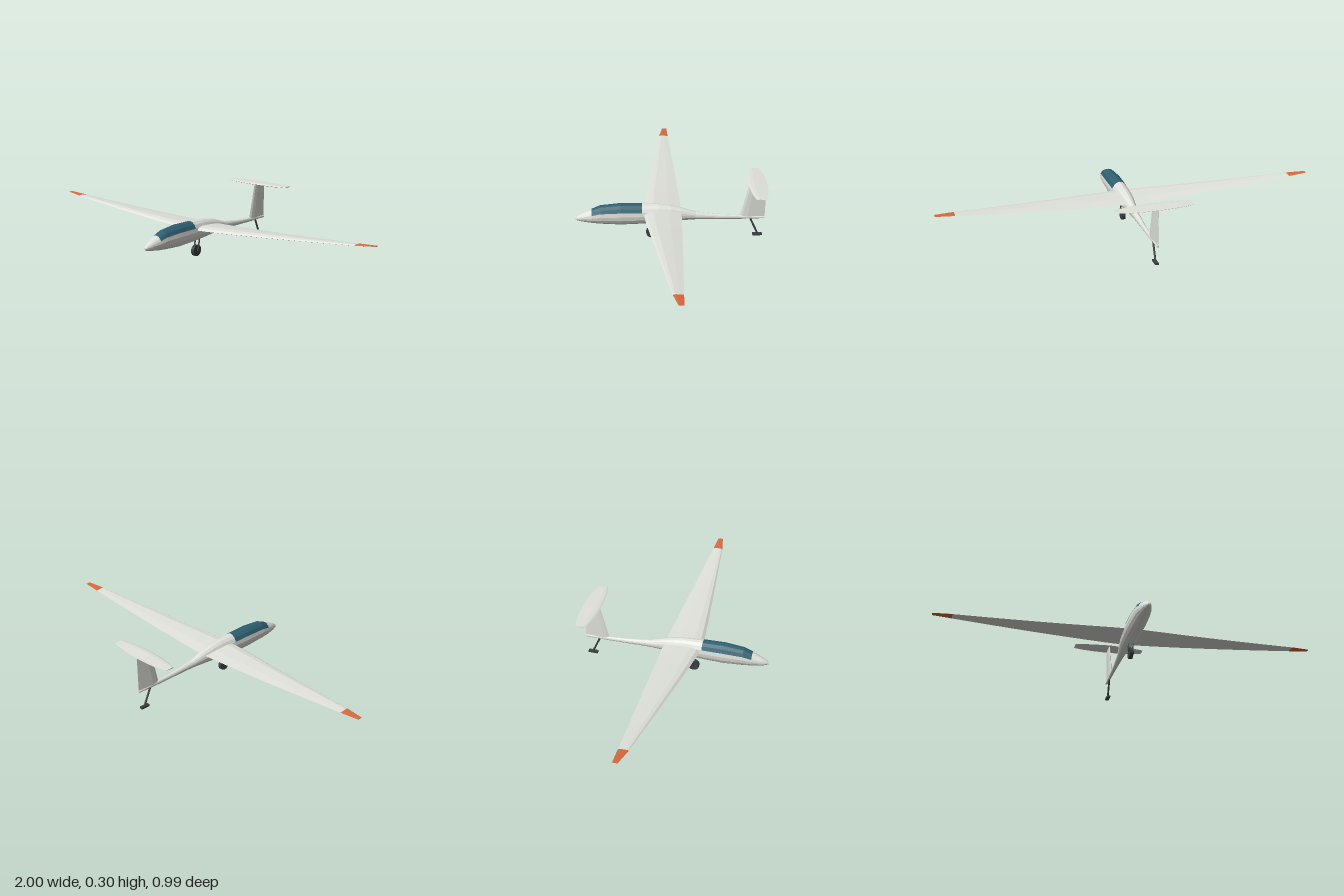
import * as THREE from 'three';

const paint = (color) => new THREE.MeshStandardMaterial({ color, flatShading: true, side: THREE.DoubleSide });
const white = paint(0xdfe1da), glass = paint(0x2f6072), orange = paint(0xd9693f), dark = paint(0x3c4143);

// Skin a list of cross-sections, each an equal-length list of [x, y, z]
function loft(name, rings, material, closed = true) {
  const n = rings[0].length, index = [];
  for (let r = 0; r < rings.length - 1; r++) {
    for (let i = 0; i < (closed ? n : n - 1); i++) {
      const j = (i + 1) % n, a = r * n + i, b = r * n + j;
      index.push(a, b, b + n, a, b + n, a + n);
    }
  }
  if (closed) {
    const last = (rings.length - 1) * n;
    for (let i = 1; i < n - 1; i++) index.push(0, i + 1, i, last, last + i, last + i + 1);
  }
  const g = new THREE.BufferGeometry();
  g.setAttribute('position', new THREE.Float32BufferAttribute(rings.flat(2), 3));
  g.setIndex(index);
  g.computeVertexNormals();
  const mesh = new THREE.Mesh(g, material);
  mesh.name = name;
  return mesh;
}

// Piecewise-linear lookup in rows sorted by their first value
function sample(rows, t) {
  let i = 0;
  while (i < rows.length - 2 && t > rows[i + 1][0]) i++;
  const a = rows[i], b = rows[i + 1], k = (t - a[0]) / (b[0] - a[0]);
  return a.map((v, c) => v + (b[c] - v) * k);
}

// Body stations, tail to nose: z, bottom, top, half width
const body = [
  [-0.488, 0.097, 0.11, 0.006], [-0.36, 0.096, 0.118, 0.009], [-0.25, 0.098, 0.126, 0.012],
  [-0.13, 0.1, 0.142, 0.018], [-0.05, 0.096, 0.168, 0.028], [0, 0.093, 0.18, 0.034],
  [0.06, 0.088, 0.189, 0.039], [0.15, 0.083, 0.193, 0.043], [0.26, 0.08, 0.196, 0.044],
  [0.365, 0.087, 0.186, 0.039], [0.41, 0.092, 0.167, 0.033], [0.46, 0.1, 0.145, 0.021],
  [0.485, 0.106, 0.131, 0.011], [0.495, 0.112, 0.122, 0.004],
];
const SIDES = 16;
function bodyRing([z, low, high, w], first, count, grow = 0) {
  return Array.from({ length: count }, (_, i) => {
    const a = ((first + i) / SIDES) * Math.PI * 2;
    return [Math.cos(a) * (w + grow), (low + high) / 2 + Math.sin(a) * ((high - low) / 2 + grow), z];
  });
}

// Airfoil: fraction of chord behind the leading edge, height as fraction of chord
const foil = [[0, 0], [0.08, -0.025], [0.3, -0.04], [0.65, -0.025], [1, 0], [0.65, 0.05], [0.25, 0.08], [0.08, 0.055]];
const symmetric = [[0, 0], [0.1, -0.04], [0.3, -0.055], [1, -0.008], [1, 0.008], [0.3, 0.055], [0.1, 0.04]];

// Wing stations: distance out, leading edge z, trailing edge z
const wingPlan = [[0, 0.143, -0.055], [0.12, 0.134, -0.051], [0.5, 0.084, -0.037], [0.9, 0.031, -0.02], [1, 0.01, -0.016]];
function wingRing(x) {
  const s = Math.abs(x), [, lead, trail] = sample(wingPlan, s), chord = lead - trail;
  const y = 0.147 + 0.044 * s ** 1.4;
  return foil.map(([u, v]) => [x, y + v * chord, lead - u * chord]);
}

// Tailplane stations: distance out, leading edge z, trailing edge z
const tailPlan = [[0, -0.398, -0.495], [0.07, -0.402, -0.493], [0.13, -0.409, -0.487], [0.19, -0.423, -0.473]];
function tailRing(x) {
  const [, lead, trail] = sample(tailPlan, Math.abs(x)), chord = lead - trail;
  return symmetric.map(([u, v]) => [x, 0.296 + v * chord, lead - u * chord]);
}

function finRing([y, lead, trail]) {
  const chord = lead - trail;
  return symmetric.map(([u, v]) => [-v * chord, y, lead - u * chord]);
}

// Round rod between two points
function rod(name, from, to, radius) {
  const a = new THREE.Vector3(...from), b = new THREE.Vector3(...to), d = b.clone().sub(a);
  const mesh = new THREE.Mesh(new THREE.CylinderGeometry(radius, radius, d.length(), 8), dark);
  mesh.position.copy(a).add(b).multiplyScalar(0.5);
  mesh.quaternion.setFromUnitVectors(new THREE.Vector3(0, 1, 0), d.normalize());
  mesh.name = name;
  return mesh;
}

export function createModel() {
  const model = new THREE.Group();
  model.name = 'glider';

  // Fuselage and the canopy lying over its upper facets
  model.add(loft('fuselage', body.map((s) => bodyRing(s, 0, SIDES)), white));
  const cockpit = body.filter(([z]) => z >= 0.15 && z <= 0.41);
  model.add(loft('canopy', cockpit.map((s) => bodyRing(s, 1, 7, 0.001)), glass, false));

  // Wing with upward curving halves and coloured tips
  const span = Array.from({ length: 19 }, (_, i) => (i - 9) / 10);
  model.add(loft('wing', span.map(wingRing), white));
  model.add(loft('leftWingTip', [0.9, 0.95, 1].map(wingRing), orange));
  model.add(loft('rightWingTip', [-1, -0.95, -0.9].map(wingRing), orange));

  // T-tail
  model.add(loft('fin', [[0.1, -0.357, -0.488], [0.118, -0.36, -0.489], [0.296, -0.405, -0.494]].map(finRing), white));
  const tailSpan = [-0.19, -0.13, -0.07, 0, 0.07, 0.13, 0.19];
  model.add(loft('tailplane', tailSpan.map(tailRing), white));

  // Main wheel carried in a fork
  const wheel = new THREE.Mesh(new THREE.CylinderGeometry(0.03, 0.03, 0.018, 16), dark);
  wheel.rotation.z = Math.PI / 2;
  wheel.position.set(0, 0.03, 0.1);
  wheel.name = 'mainWheel';
  model.add(wheel);
  for (const side of [-1, 1]) {
    model.add(rod('wheelFork', [side * 0.013, 0.1, 0.086], [side * 0.013, 0.028, 0.101], 0.004));
  }
  model.add(rod('wheelAxle', [-0.015, 0.03, 0.1], [0.015, 0.03, 0.1], 0.004));

  // Tail strut and skid
  model.add(rod('tailStrut', [0, 0.1, -0.413], [0, 0.006, -0.455], 0.005));
  const skid = new THREE.Mesh(new THREE.BoxGeometry(0.018, 0.01, 0.05), dark);
  skid.position.set(0, 0.005, -0.453);
  skid.name = 'tailSkid';
  model.add(skid);

  return model;
}
